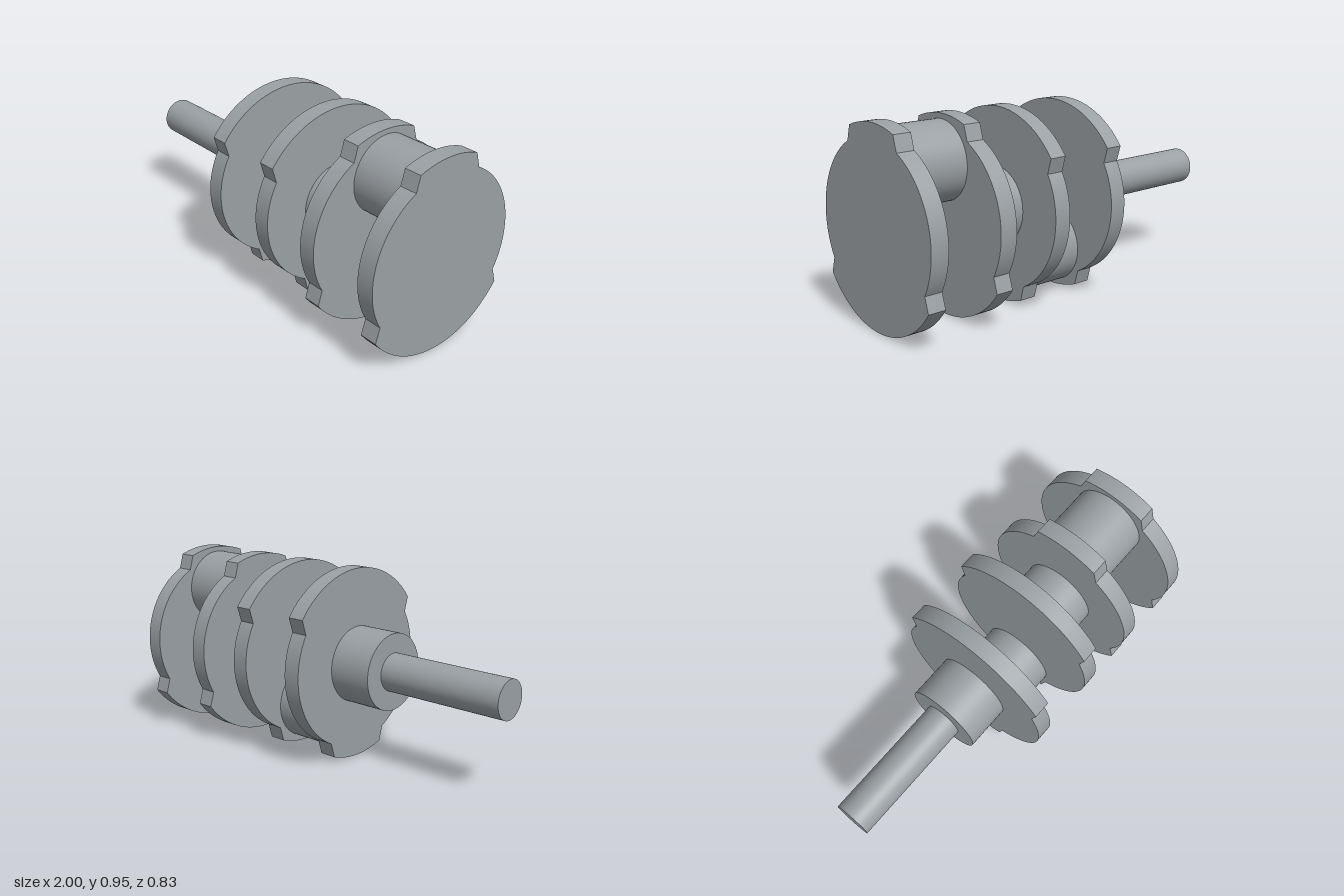
import * as THREE from 'three';
import { toCreasedNormals } from 'three/addons/utils/BufferGeometryUtils.js';

const AXIS_Y = 0.475;   // height of the main axis
const OUTER = 0.473;    // radius of the lobes
const INNER = 0.414;    // radius between the lobes
const WEB = 0.088;      // web thickness
const THROW = 0.26;     // pin offset from the main axis

// Disc with a narrow lobe at the top and a wide one at the bottom
function webGeometry() {
  const up = Math.PI / 2, down = Math.PI * 1.5;
  const shape = new THREE.Shape();
  shape.absarc(0, 0, OUTER, up - 0.366, up + 0.366, false);
  shape.absarc(0, 0, INNER, up + 0.478, down - 1.053, false);
  shape.absarc(0, 0, OUTER, down - 0.94, down + 0.94, false);
  shape.absarc(0, 0, INNER, down + 1.053, up - 0.478 + Math.PI * 2, false);
  shape.closePath();
  const geometry = new THREE.ExtrudeGeometry(shape, { depth: WEB, bevelEnabled: false, curveSegments: 32 });
  geometry.rotateY(Math.PI / 2);
  return toCreasedNormals(geometry, 0.25);
}

export function createModel() {
  const model = new THREE.Group();
  model.name = 'crankshaft';
  const steel = new THREE.MeshStandardMaterial({ color: 0x9aa0a4 });
  steel.name = 'steel grey';

  // Round bar along x
  const bar = (name, x0, x1, radius, y = AXIS_Y) => {
    const geometry = new THREE.CylinderGeometry(radius, radius, x1 - x0, 64);
    geometry.rotateZ(-Math.PI / 2);
    const mesh = new THREE.Mesh(geometry, steel);
    mesh.name = name;
    mesh.position.set((x0 + x1) / 2, y, 0);
    model.add(mesh);
  };

  // Webs: the first pair carries the lower pin, the second pair the upper pin
  const geometry = webGeometry();
  const starts = [-0.123, 0.233, 0.549, 1 - WEB];
  starts.forEach((x, i) => {
    const web = new THREE.Mesh(geometry, steel);
    web.name = `counterweightWeb${i + 1}`;
    web.position.set(x, AXIS_Y, 0);
    if (i < 2) web.rotation.x = Math.PI;
    model.add(web);
  });

  // Input shaft and main journals
  bar('inputShaft', -1, -0.35, 0.094);
  bar('endJournal', -0.35, starts[0], 0.189);
  bar('middleJournal', starts[1] + WEB, starts[2], 0.189);

  // Crank pins
  bar('lowerCrankPin', starts[0] + WEB, starts[1], 0.188, AXIS_Y - THROW);
  bar('upperCrankPin', starts[2] + WEB, starts[3], 0.188, AXIS_Y + THROW);

  return model;
}
